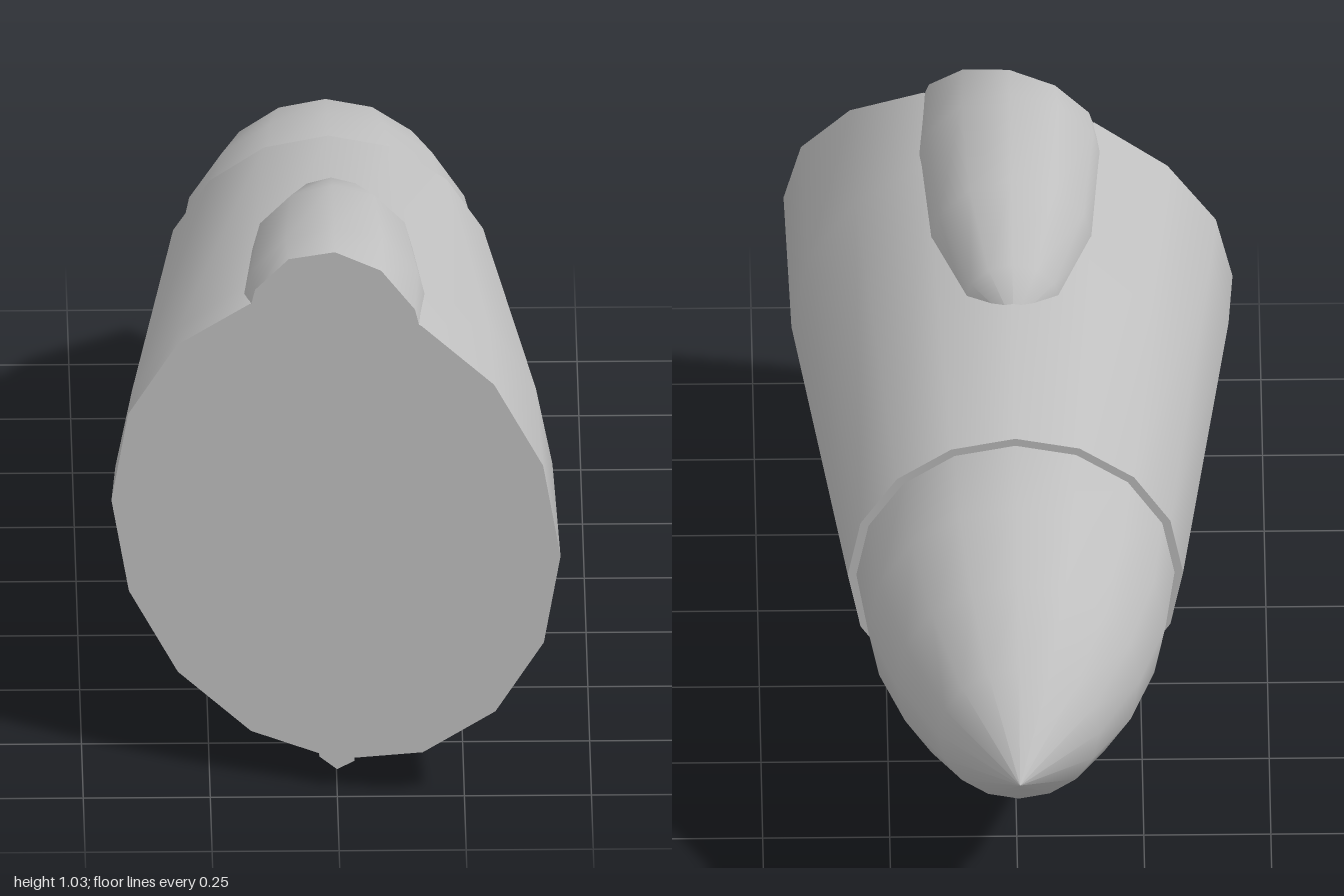
import * as THREE from 'three';

const AXIS_Y = 0.495;

// Slanted plane that slices off the front end
const cutZ = (x, y) => 0.812 + 0.307 * x - 0.3 * (y - AXIS_Y);

// Skin of circular rings [z, radius] along z; z = 'cut' puts a ring on the slanted plane
function loft(rings, sides, yc, caps = {}) {
  const pos = [], index = [];
  const ringPoints = ([z, r]) => Array.from({ length: sides }, (_, j) => {
    const a = Math.PI / 2 + (j / sides) * Math.PI * 2;
    const x = r * Math.cos(a), y = yc + r * Math.sin(a);
    return [x, y, z === 'cut' ? cutZ(x, y) : z];
  });
  const loops = rings.map(ringPoints);
  loops.forEach((loop) => loop.forEach((p) => pos.push(...p)));
  for (let i = 0; i < loops.length - 1; i++) {
    for (let j = 0; j < sides; j++) {
      const k = (j + 1) % sides;
      const a = i * sides + j, b = i * sides + k;
      const d = a + sides, c = b + sides;
      if (rings[i][1] > 0) index.push(a, b, c);
      index.push(a, c, d);
    }
  }
  // Flat end caps get their own vertices so the rim stays sharp
  const addCap = (loop, front) => {
    const start = pos.length / 3;
    loop.forEach((p) => pos.push(...p));
    for (let j = 1; j < sides - 1; j++) {
      if (front) index.push(start, start + j, start + j + 1);
      else index.push(start, start + j + 1, start + j);
    }
  };
  if (caps.back) addCap(loops[0], false);
  if (caps.front) addCap(loops[loops.length - 1], true);
  const geo = new THREE.BufferGeometry();
  geo.setAttribute('position', new THREE.Float32BufferAttribute(pos, 3));
  geo.setIndex(index);
  geo.computeVertexNormals();
  return geo;
}

export function createModel() {
  const group = new THREE.Group();
  const grey = new THREE.MeshStandardMaterial({ color: 0xbfbfbf });
  grey.name = 'plainGrey';

  const add = (name, geo) => {
    const mesh = new THREE.Mesh(geo, grey);
    mesh.name = name;
    group.add(mesh);
    return mesh;
  };

  // Tapered main body, sliced at the front, with a stepped rim at the back
  add('body', loft([[-0.3, 0.33], [0.52, 0.43], ['cut', 0.44]], 16, AXIS_Y,
    { back: true, front: true }));

  // Pointed rounded tip
  add('tip', loft([[-1, 0], [-0.83, 0.158], [-0.66, 0.24], [-0.48, 0.293], [-0.3, 0.313]],
    16, AXIS_Y));

  // Raised rounded hump on top, sliced by the same plane
  const humpRings = [90, 60, 30, 0].map((deg) => {
    const a = THREE.MathUtils.degToRad(deg);
    return [0.56 - 0.5 * Math.sin(a), 0.19 * Math.cos(a)];
  });
  add('hump', loft([...humpRings, ['cut', 0.181]], 12, 0.84, { front: true }));

  // Thin rod along the underside
  add('rod', loft([[0.04, 0.036], ['cut', 0.04]], 6, 0.076, { front: true }));

  // Ball on the end of the rod
  const ball = new THREE.SphereGeometry(0.066, 8, 6);
  ball.rotateX(Math.PI / 2);
  add('rodBall', ball).position.set(0, 0.077, 0.037);

  // Hexagonal clamps holding the rod
  for (const z of [0.775, 0.495]) {
    let clamp = new THREE.CylinderGeometry(0.08, 0.08, 0.055, 6);
    clamp.rotateX(Math.PI / 2);
    clamp = clamp.toNonIndexed();
    clamp.computeVertexNormals();
    add('rodClamp', clamp).position.set(0, 0.08, z);
  }

  return group;
}
